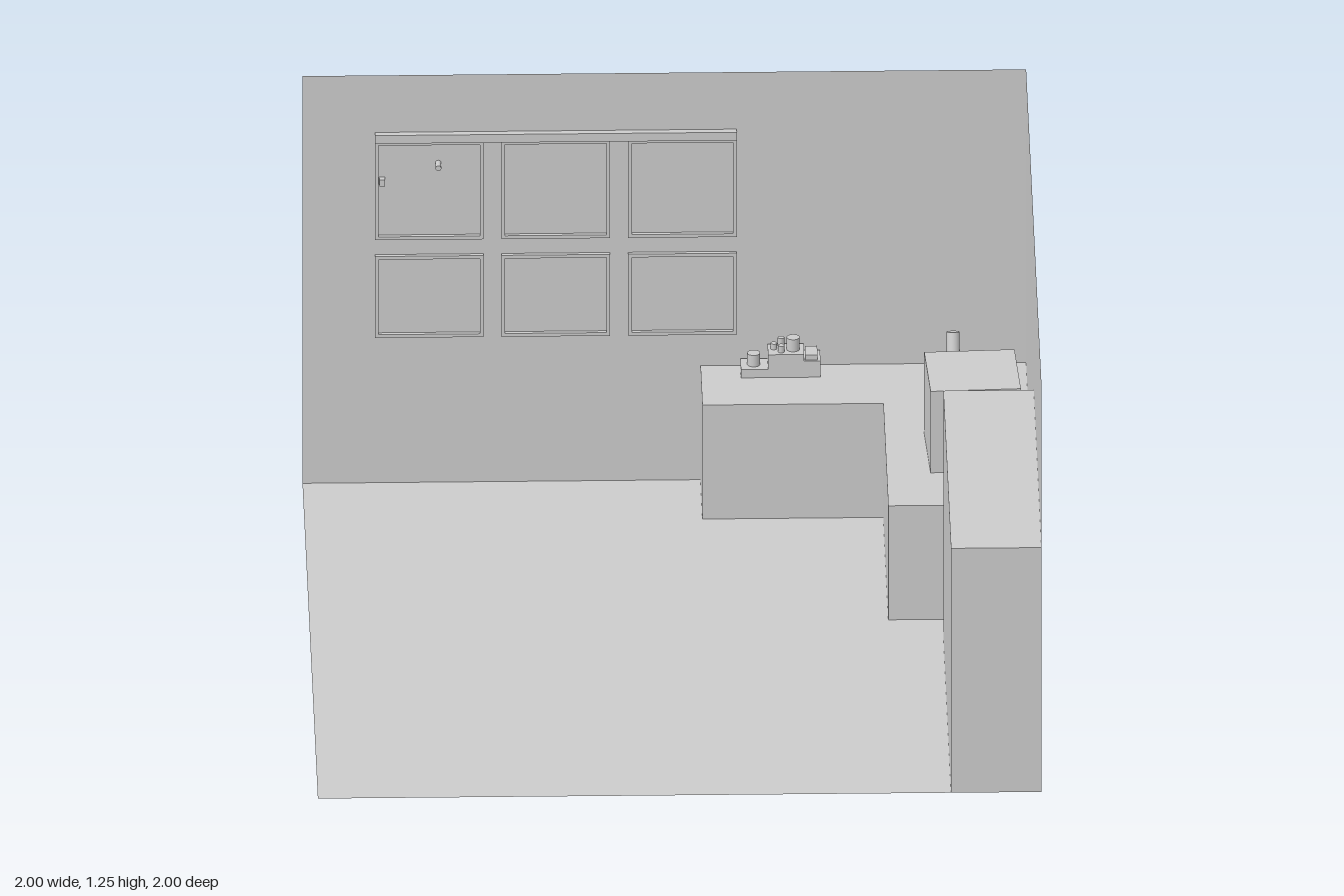
import * as THREE from 'three';

const solid = new THREE.MeshStandardMaterial({ color: 0xcccccc });
const thin = new THREE.MeshStandardMaterial({ color: 0xcccccc, side: THREE.DoubleSide });

export function createModel() {
  const room = new THREE.Group();
  room.name = 'room';

  const add = (name, geometry, parent = room, material = solid) => {
    const mesh = new THREE.Mesh(geometry, material);
    mesh.name = name;
    parent.add(mesh);
    return mesh;
  };
  // Box given by its extents on each axis
  const box = (name, [x0, x1], [y0, y1], [z0, z1], parent) => {
    const mesh = add(name, new THREE.BoxGeometry(x1 - x0, y1 - y0, z1 - z0), parent);
    mesh.position.set((x0 + x1) / 2, (y0 + y1) / 2, (z0 + z1) / 2);
    return mesh;
  };
  // Upright cylinder standing on y0
  const post = (name, x, z, r, y0, y1, parent) => {
    const mesh = add(name, new THREE.CylinderGeometry(r, r, y1 - y0, 24), parent);
    mesh.position.set(x, (y0 + y1) / 2, z);
    return mesh;
  };
  // Cylinder running between two points
  const rod = (name, a, b, r, parent) => {
    const dir = b.clone().sub(a);
    const mesh = add(name, new THREE.CylinderGeometry(r, r, dir.length(), 20), parent);
    mesh.position.copy(a).add(b).multiplyScalar(0.5);
    mesh.quaternion.setFromUnitVectors(new THREE.Vector3(0, 1, 0), dir.normalize());
    return mesh;
  };
  const group = (name) => {
    const g = new THREE.Group();
    g.name = name;
    room.add(g);
    return g;
  };
  const v = (x, y, z) => new THREE.Vector3(x, y, z);

  // Floor and the two walls
  add('floor', new THREE.PlaneGeometry(2, 2), room, thin).rotation.x = -Math.PI / 2;
  add('backWall', new THREE.PlaneGeometry(2, 1.25), room, thin).position.set(0, 0.625, -1);
  const sideWall = add('sideWall', new THREE.PlaneGeometry(2, 1.25), room, thin);
  sideWall.rotation.y = -Math.PI / 2;
  sideWall.position.set(1, 0.625, 0);

  // L-shaped counter and tall cabinet
  const plan = new THREE.Shape([[0.1, 1], [0.1, 0.75], [0.6, 0.75], [0.6, 0.1], [1, 0.1], [1, 1]]
    .map(([x, y]) => new THREE.Vector2(x, y)));
  add('counter', new THREE.ExtrudeGeometry(plan, { depth: 0.35, bevelEnabled: false }))
    .rotation.x = -Math.PI / 2;
  box('cabinet', [0.75, 1], [0, 0.75], [0, 1]);

  // Window: six thin frames under a rail
  const window = group('window');
  for (const x of [-0.8, -0.45, -0.1]) {
    for (const [y, h] of [[0.75, 0.3], [0.45, 0.25]]) {
      const t = 0.01;
      const rect = (path, a, b, c, d) =>
        path.moveTo(a, b).lineTo(c, b).lineTo(c, d).lineTo(a, d).closePath();
      const shape = new THREE.Shape();
      rect(shape, x, y, x + 0.3, y + h);
      const hole = new THREE.Path();
      rect(hole, x + t, y + t, x + 0.3 - t, y + h - t);
      shape.holes.push(hole);
      add('windowFrame', new THREE.ExtrudeGeometry(shape, { depth: 0.012, bevelEnabled: false }), window)
        .position.z = -1;
    }
  }
  box('windowRail', [-0.8, 0.2], [1.05, 1.075], [-1, -0.98], window);
  box('windowLatch', [-0.788, -0.772], [0.918, 0.938], [-1, -0.98], window);
  rod('windowKnob', v(-0.625, 0.98, -1), v(-0.625, 0.98, -0.965), 0.008, window);

  // Stepped display stand with small pots
  const stand = group('displayStand');
  const depth = [-0.99, -0.92];
  box('lowStep', [0.21, 0.285], [0.35, 0.375], depth, stand);
  box('highStep', [0.285, 0.385], [0.35, 0.42], depth, stand);
  box('middleStep', [0.385, 0.43], [0.35, 0.4], depth, stand);
  box('smallBox', [0.388, 0.422], [0.4, 0.415], [-0.985, -0.927], stand);
  for (const [x, z, r, y0, y1] of [
    [0.246, -0.955, 0.018, 0.375, 0.41],
    [0.355, -0.955, 0.018, 0.42, 0.457],
    [0.302, -0.96, 0.009, 0.42, 0.437],
    [0.322, -0.975, 0.009, 0.42, 0.447],
    [0.322, -0.94, 0.009, 0.42, 0.44],
  ]) post('pot', x, z, r, y0, y1, stand);

  // Desk lamp leaning forward from its round base
  const lamp = group('deskLamp');
  post('lampBase', 0.79, -0.835, 0.05, 0.35, 0.365, lamp);
  rod('lampArm', v(0.79, 0.36, -0.84), v(0.79, 0.62, -0.61), 0.004, lamp);
  rod('lampHead', v(0.79, 0.635, -0.612), v(0.79, 0.58, -0.595), 0.018, lamp);

  // Slightly turned box on the counter
  const crate = box('counterBox', [0.715, 0.965], [0.35, 0.6], [-0.5625, -0.3125]);
  crate.rotation.y = 0.05;

  return room;
}
